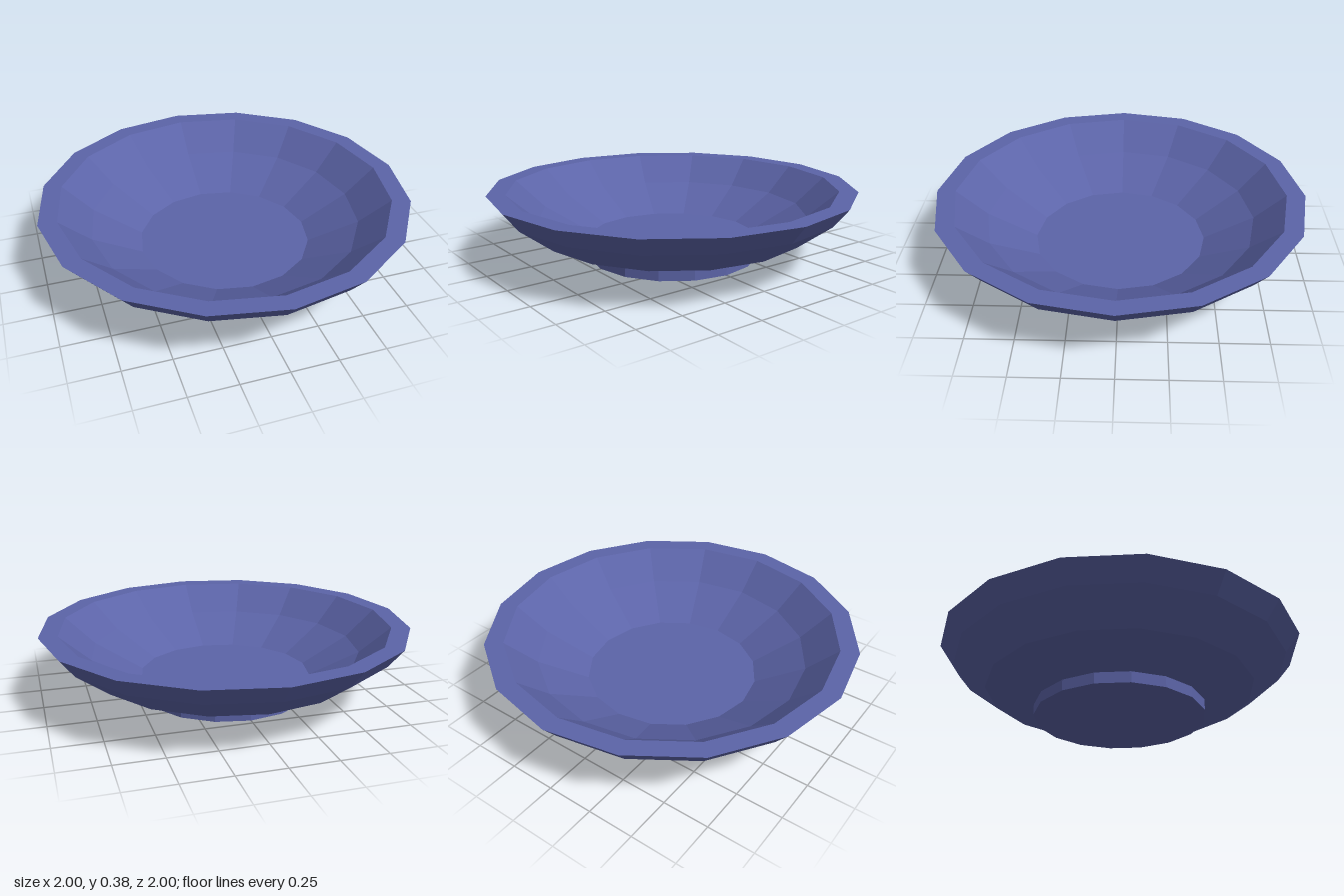
import * as THREE from 'three';

const SIDES = 16;

const glaze = new THREE.MeshStandardMaterial({ color: 0x5c64a8, flatShading: true });

// Revolves a [radius, height] profile into a faceted part.
function turned(name, profile) {
  const points = profile.map(([r, y]) => new THREE.Vector2(r, y));
  const mesh = new THREE.Mesh(new THREE.LatheGeometry(points, SIDES), glaze);
  mesh.name = name;
  return mesh;
}

export function createModel() {
  const group = new THREE.Group();
  group.name = 'bowl';

  // Flat base and short upright foot ring
  group.add(turned('foot', [[0, 0], [0.47, 0], [0.47, 0.06]]));

  // Outer wall up to the lip
  group.add(turned('outerWall', [[0.47, 0.06], [0.74, 0.15], [0.92, 0.285], [1, 0.385]]));

  // Flat lip
  group.add(turned('rim', [[1, 0.385], [0.9, 0.385]]));

  // Inner wall down to the flat floor
  group.add(turned('innerWall', [[0.9, 0.385], [0.735, 0.24], [0.47, 0.1], [0, 0.1]]));

  return group;
}
